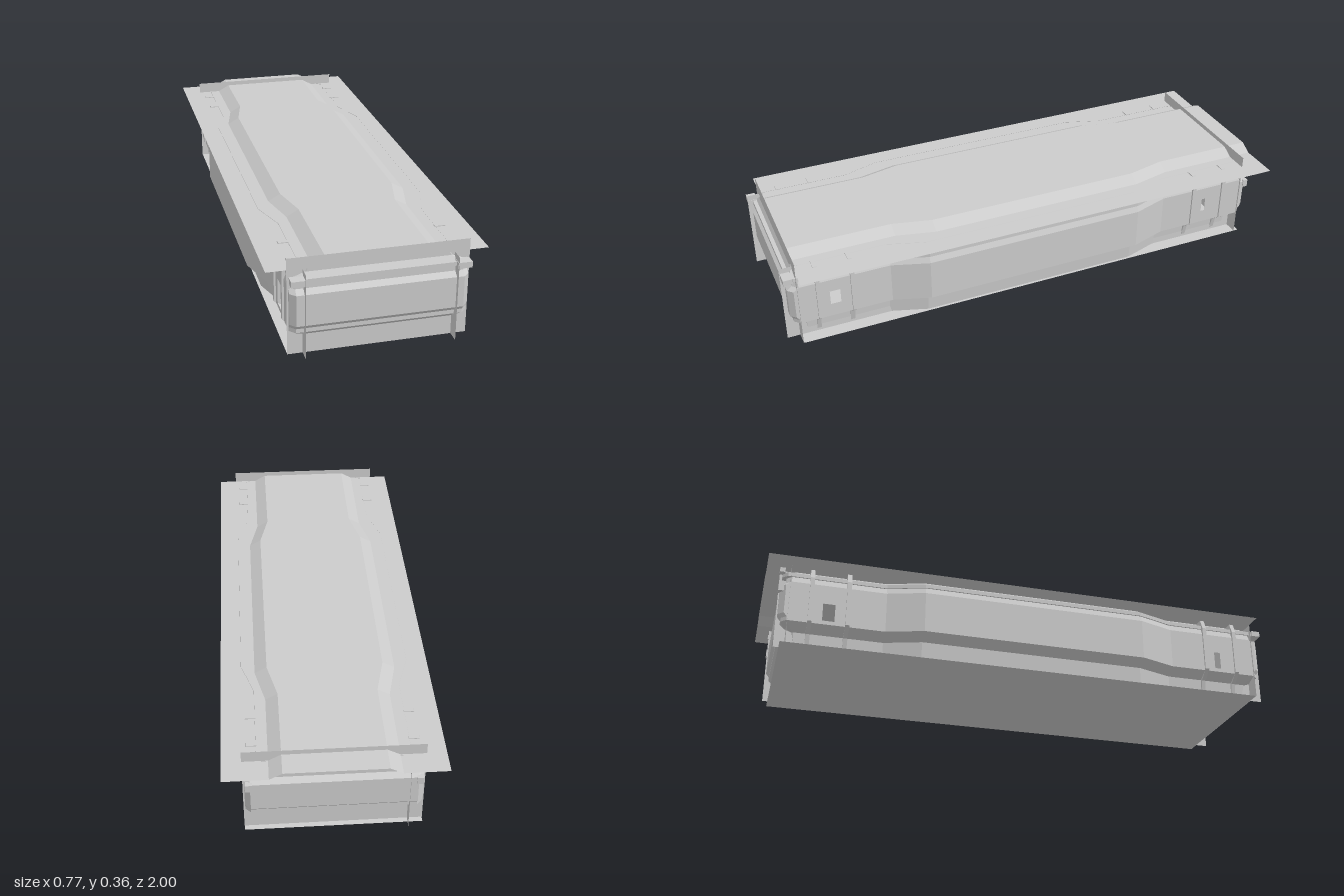
import * as THREE from 'three';

const material = new THREE.MeshStandardMaterial({ color: 0xcccccc, flatShading: true, side: THREE.DoubleSide });

function mesh(name, geometry, parent) {
  const m = new THREE.Mesh(geometry, material);
  m.name = name;
  parent.add(m);
  return m;
}

// Sheet of quads through point(i, j); skip(i, j) leaves an opening
function gridSheet(cols, rows, point, skip = () => false) {
  const pos = [];
  for (let i = 0; i < cols - 1; i++) for (let j = 0; j < rows - 1; j++) {
    if (skip(i, j)) continue;
    const a = point(i, j), b = point(i + 1, j), c = point(i + 1, j + 1), d = point(i, j + 1);
    pos.push(...a, ...b, ...c, ...a, ...c, ...d);
  }
  const g = new THREE.BufferGeometry();
  g.setAttribute('position', new THREE.Float32BufferAttribute(pos, 3));
  g.computeVertexNormals();
  return g;
}

// Wall profile: height, inset of the sides, inset of the ends
const PROFILE = [
  [0, 0.05, 0.05], [0.065, 0.045, 0.04], [0.09, 0, 0.012], [0.105, 0, 0.012], [0.12, 0, 0],
  [0.2, 0, 0], [0.235, 0, 0], [0.25, 0, 0.02], [0.275, 0.01, 0.02], [0.275, 0.005, 0.005],
  [0.29, 0.005, 0.005], [0.29, 0.012, 0.02], [0.305, 0.04, 0.03], [0.316, 0.045, 0.03],
];
const FRONT = 0.985, BACK = -0.945, CORNER = 0.02, END_W = 0.31, MID_W = 0.355;

// Plan of one side: z, half width
const SIDE = [
  [FRONT - CORNER, END_W], [0.835, END_W], [0.785, END_W], [0.6, END_W], [0.46, MID_W],
  [-0.41, MID_W], [-0.55, END_W], [-0.735, END_W], [-0.785, END_W], [BACK + CORNER, END_W],
];
const WINDOWS = [[0.785, 0.835], [-0.785, -0.735]];

function sideWall(s) {
  const last = SIDE.length - 1;
  return gridSheet(SIDE.length, PROFILE.length, (i, j) => {
    const [y, ix, iz] = PROFILE[j];
    const z = SIDE[i][0] + (i === 0 ? -iz : i === last ? iz : 0);
    return [s * (SIDE[i][1] - ix), y, z];
  }, (i, j) => (i === 1 || i === 7) && (j === 3 || j === 4));
}

function endWall(zEnd, dir) {
  return gridSheet(4, PROFILE.length, (i, j) => {
    const [y, ix, iz] = PROFILE[j];
    const outer = i === 0 || i === 3;
    const x = (END_W - ix - (outer ? 0 : CORNER)) * (i < 2 ? -1 : 1);
    return [x, y, zEnd - dir * (iz + (outer ? CORNER : 0))];
  });
}

// Upright lengthwise sheet with window openings
function innerSheet() {
  const shape = new THREE.Shape();
  shape.moveTo(-0.95, 0).lineTo(1, 0).lineTo(1, 0.315).lineTo(-0.95, 0.315).closePath();
  for (const [a, b] of WINDOWS) {
    const hole = new THREE.Path();
    hole.moveTo(a, 0.105).lineTo(a, 0.2).lineTo(b, 0.2).lineTo(b, 0.105).closePath();
    shape.holes.push(hole);
  }
  return new THREE.ShapeGeometry(shape).rotateY(-Math.PI / 2);
}

// Rib that follows the wall profile
function ribGeometry() {
  const pts = [[0.262, 0.01], [0.275, 0.06], [0.317, 0.095], [0.317, 0.275], [0.3, 0.318], [0.262, 0.318]];
  const shape = new THREE.Shape(pts.map(p => new THREE.Vector2(...p)));
  return new THREE.ExtrudeGeometry(shape, { depth: 0.016, bevelEnabled: false }).translate(0, 0, -0.008);
}

export function createModel() {
  const model = new THREE.Group();
  model.name = 'longBody';

  // Floor
  mesh('floor', new THREE.PlaneGeometry(0.63, 1.88).rotateX(Math.PI / 2).translate(0, 0, 0.01), model);

  // Roof with a raised centre that widens amidships
  const roofZ = [[0.95, 0.18], [0.55, 0.18], [0.4, 0.215], [-0.45, 0.215], [-0.6, 0.18], [-1, 0.18]];
  mesh('roof', gridSheet(6, roofZ.length, (i, j) => {
    const [z, w] = roofZ[j];
    const x = [-0.385, -w - 0.045, -w, w, w + 0.045, 0.385][i];
    return [x, i === 2 || i === 3 ? 0.34 : 0.315, z];
  }), model);

  // Walls
  mesh('frontWall', endWall(FRONT, 1), model);
  mesh('backWall', endWall(BACK, -1), model);
  const rib = ribGeometry();
  for (const s of [1, -1]) {
    const side = s > 0 ? 'left' : 'right';
    mesh(side + 'Wall', sideWall(s), model);
    mesh(side + 'InnerSheet', innerSheet(), model).position.x = s * 0.262;

    // Ribs beside the windows
    for (const z of [0.877, 0.747, -0.692, -0.83]) {
      const r = mesh(side + 'Rib', rib, model);
      r.position.z = z;
      if (s < 0) r.rotation.y = Math.PI;
    }

    // Corner fittings
    mesh(side + 'FrontFitting', new THREE.BoxGeometry(0.05, 0.022, 0.035), model).position.set(s * 0.285, 0.283, 0.98);
    for (const [y, h] of [[0.225, 0.03], [0.297, 0.018]])
      mesh(side + 'BackFitting', new THREE.BoxGeometry(0.025, h, 0.02), model).position.set(s * 0.295, y, -0.942);
  }

  // Upright end sheets rising above the roof
  for (const [name, z] of [['frontSheet', 0.952], ['backSheet', -0.91]])
    mesh(name, new THREE.PlaneGeometry(0.632, 0.358).translate(0, 0.179, z), model);

  return model;
}
